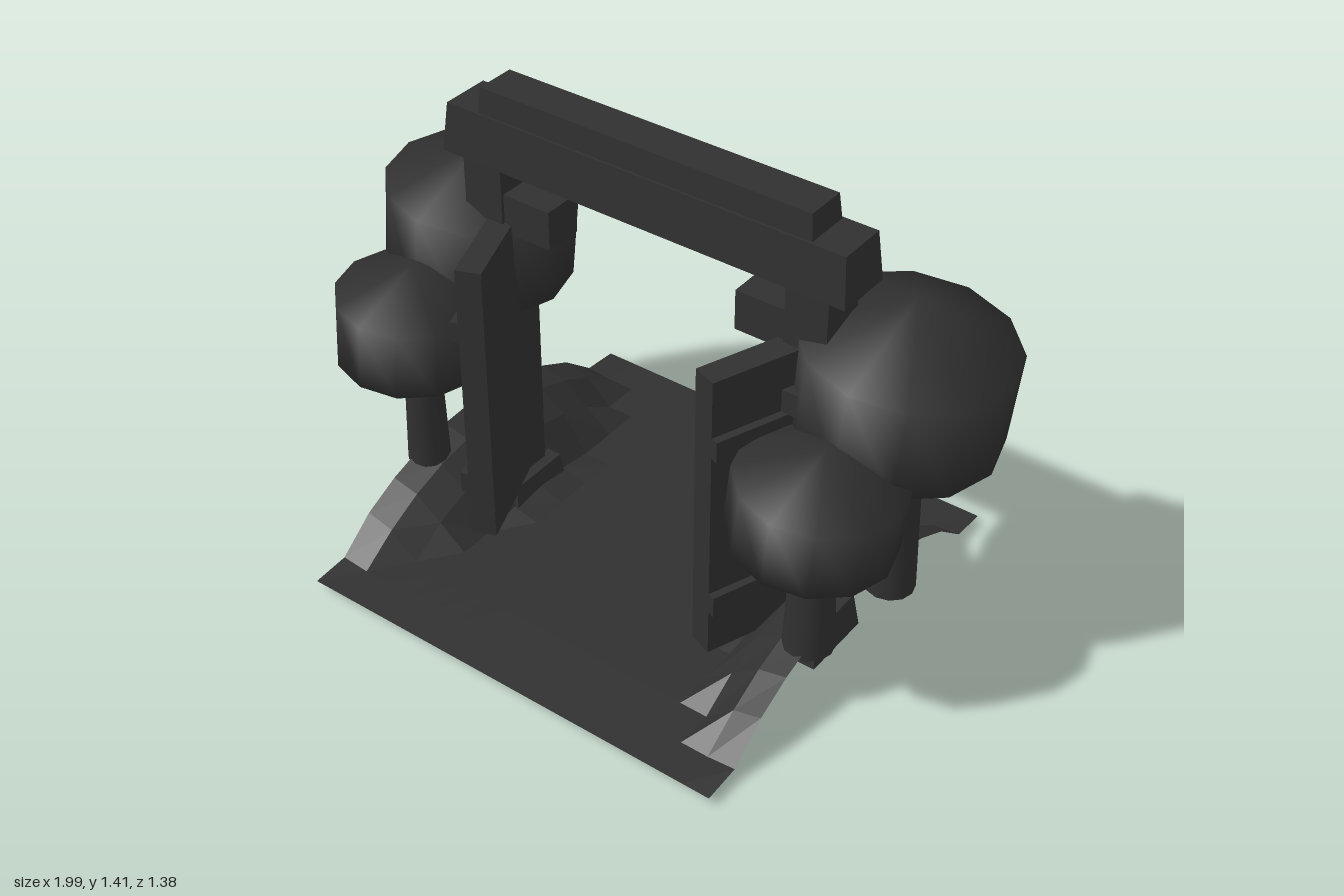
import * as THREE from 'three';

const mat = new THREE.MeshStandardMaterial({ color: 0x303030 });
const groundMat = new THREE.MeshStandardMaterial({ color: 0x303030, side: THREE.DoubleSide, flatShading: true });

function add(parent, name, geometry, x, y, z, material = mat) {
  const mesh = new THREE.Mesh(geometry, material);
  mesh.name = name;
  mesh.position.set(x, y, z);
  parent.add(mesh);
  return mesh;
}

// Box whose top is inset on all sides
function taperedBox(w, h, d, inset) {
  const g = new THREE.BoxGeometry(w, h, d);
  const p = g.attributes.position;
  for (let i = 0; i < p.count; i++) {
    if (p.getY(i) > 0) {
      p.setX(i, p.getX(i) - Math.sign(p.getX(i)) * inset);
      p.setZ(i, p.getZ(i) - Math.sign(p.getZ(i)) * inset);
    }
  }
  g.computeVertexNormals();
  return g;
}

// Thin ground sheet that swells into half a mound at each side edge
function groundGeometry() {
  const g = new THREE.PlaneGeometry(1.38, 1.38, 16, 12);
  g.rotateX(-Math.PI / 2);
  const p = g.attributes.position;
  for (let i = 0; i < p.count; i++) {
    const t = (0.69 - Math.abs(p.getX(i))) / 0.27;
    const s = Math.abs(p.getZ(i)) / 0.58;
    const k = Math.max(0, 1 - t * t - s * s);
    p.setY(i, 0.22 * Math.pow(k, 0.8));
  }
  g.computeVertexNormals();
  return g;
}

function addTree(parent, name, { trunk, base, rTop, rBottom, crown, rx, ry, lean }) {
  const tree = new THREE.Group();
  tree.name = name;
  const h = crown[1] - base;
  add(tree, 'trunk', new THREE.CylinderGeometry(rTop, rBottom, h, 12), trunk[0], base + h / 2, trunk[1]);
  // Three bands give the crown its hexagonal outline
  const leaves = add(tree, 'crown', new THREE.SphereGeometry(1, 12, 3), ...crown);
  leaves.scale.set(rx, ry, rx);
  leaves.rotation.z = lean;
  parent.add(tree);
}

export function createModel() {
  const model = new THREE.Group();
  model.name = 'gateway';

  const gate = new THREE.Group();
  gate.name = 'gate';
  gate.position.x = -0.025;
  model.add(gate);

  add(gate, 'ground', groundGeometry(), 0, 0.03, 0, groundMat);

  // Lintel beams
  add(gate, 'lowerBeam', taperedBox(1.29, 0.145, 0.175, 0.013), 0, 1.2625, 0);
  add(gate, 'upperBeam', taperedBox(1.06, 0.075, 0.135, 0.007), 0, 1.3725, 0);

  for (const side of [-1, 1]) {
    const label = side > 0 ? 'left' : 'right';
    // Post on a tapered footing, with a bracket block facing inward
    add(gate, label + 'Footing', taperedBox(0.22, 0.11, 0.23, 0.014), side * 0.525, 0.055, 0);
    add(gate, label + 'Post', new THREE.BoxGeometry(0.128, 1.12, 0.14), side * 0.525, 0.65, 0);
    add(gate, label + 'Bracket', new THREE.BoxGeometry(0.16, 0.12, 0.12), side * 0.385, 1.04, 0);

    // Open door leaf swung toward the front
    const door = new THREE.Group();
    door.name = label + 'Door';
    door.position.set(side * 0.438, 0, 0.165);
    door.rotation.y = -side * 0.364;
    gate.add(door);
    add(door, 'panel', new THREE.BoxGeometry(0.075, 0.91, 0.3), 0, 0.555, 0);
    for (const y of [0.28, 0.805]) {
      add(door, 'batten', new THREE.BoxGeometry(0.03, 0.065, 0.3), side * 0.045, y, 0);
    }
    // Hinge blocks on the post
    for (const y of [0.375, 0.87]) {
      add(gate, label + 'Hinge', new THREE.BoxGeometry(0.11, 0.07, 0.06), side * 0.535, y, 0.09);
    }
  }

  // Trees: a tall one behind and a short one in front on each mound
  addTree(model, 'tallLeftTree', {
    trunk: [0.7, -0.11], base: 0.205, rTop: 0.055, rBottom: 0.072,
    crown: [0.68, 0.877, -0.12], rx: 0.34, ry: 0.28, lean: -0.1
  });
  addTree(model, 'tallRightTree', {
    trunk: [-0.72, -0.09], base: 0.2, rTop: 0.055, rBottom: 0.072,
    crown: [-0.71, 0.857, -0.09], rx: 0.32, ry: 0.28, lean: -0.1
  });
  addTree(model, 'shortLeftTree', {
    trunk: [0.645, 0.21], base: 0.195, rTop: 0.052, rBottom: 0.072,
    crown: [0.645, 0.668, 0.21], rx: 0.265, ry: 0.2, lean: -0.1
  });
  addTree(model, 'shortRightTree', {
    trunk: [-0.695, 0.21], base: 0.2, rTop: 0.05, rBottom: 0.065,
    crown: [-0.71, 0.677, 0.22], rx: 0.255, ry: 0.205, lean: -0.08
  });

  return model;
}
